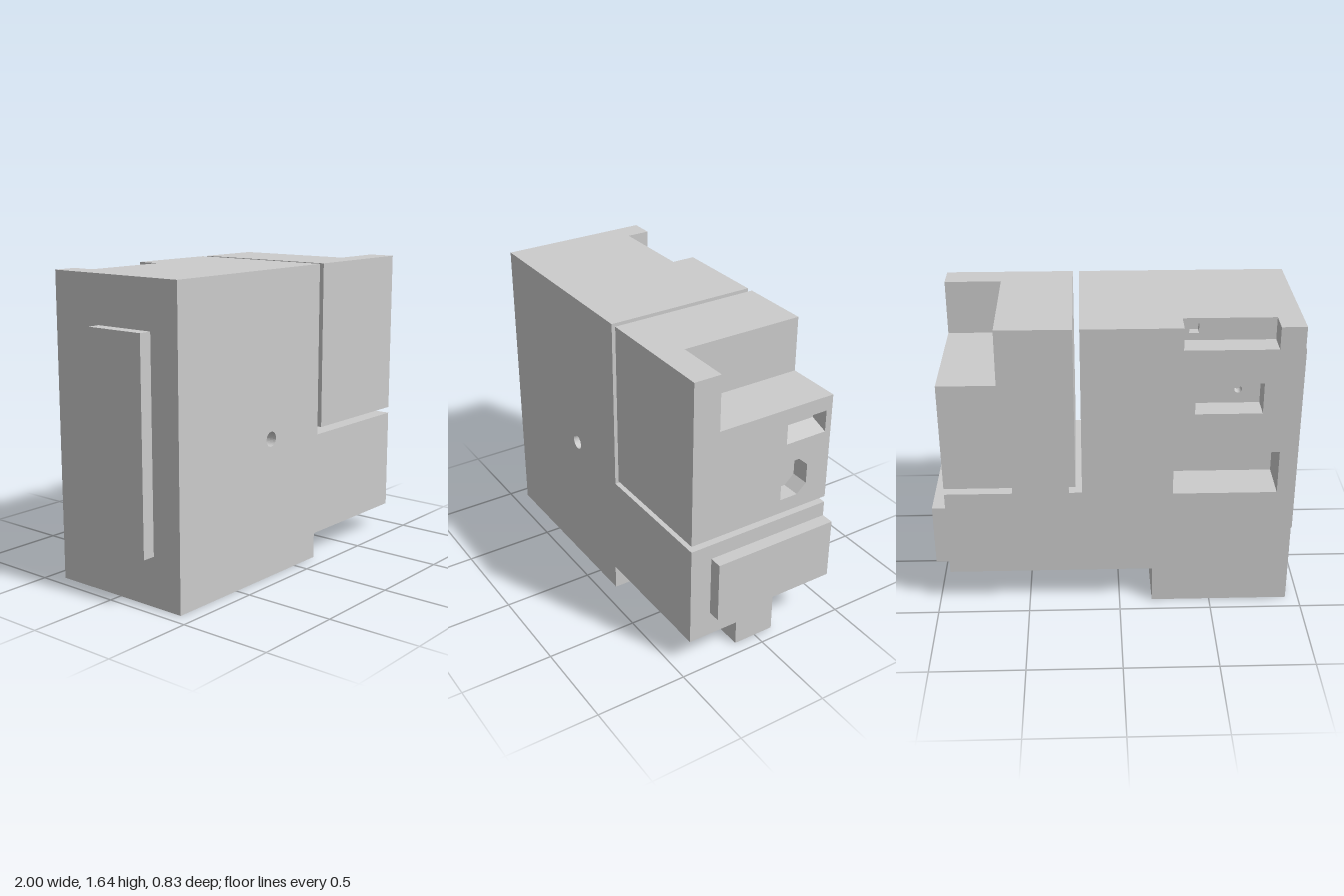
import * as THREE from 'three';

const material = new THREE.MeshStandardMaterial({ color: 0xcccccc, flatShading: true });

// Boxes are written as [x0, x1, y0, y1, z0, z1].
// Surface of a box after box-shaped cuts have been taken out of it.
function carvedGeometry(solid, cuts) {
  const lines = [0, 1, 2].map((d) => {
    const lo = solid[2 * d], hi = solid[2 * d + 1];
    const values = cuts.flatMap((c) => [c[2 * d], c[2 * d + 1]]).filter((v) => v > lo && v < hi);
    return [...new Set([lo, hi, ...values])].sort((a, b) => a - b);
  });
  const filled = (cell) => {
    if (cell.some((i, d) => i < 0 || i >= lines[d].length - 1)) return false;
    const mid = cell.map((i, d) => (lines[d][i] + lines[d][i + 1]) / 2);
    return !cuts.some((c) => mid.every((m, d) => m > c[2 * d] && m < c[2 * d + 1]));
  };
  const positions = [];
  const addFace = (cell, d, dir) => {
    const u = (d + 1) % 3, v = (d + 2) % 3;
    const corner = (a, b) => {
      const index = [...cell];
      index[d] += dir > 0 ? 1 : 0;
      index[u] += a;
      index[v] += b;
      return index.map((i, k) => lines[k][i]);
    };
    const q = [corner(0, 0), corner(1, 0), corner(1, 1), corner(0, 1)];
    if (dir < 0) q.reverse();
    for (const i of [0, 1, 2, 0, 2, 3]) positions.push(...q[i]);
  };
  for (let i = 0; i < lines[0].length - 1; i++)
    for (let j = 0; j < lines[1].length - 1; j++)
      for (let k = 0; k < lines[2].length - 1; k++) {
        const cell = [i, j, k];
        if (!filled(cell)) continue;
        for (let d = 0; d < 3; d++)
          for (const dir of [-1, 1]) {
            const next = [...cell];
            next[d] += dir;
            if (!filled(next)) addFace(cell, d, dir);
          }
      }
  const geometry = new THREE.BufferGeometry();
  geometry.setAttribute('position', new THREE.Float32BufferAttribute(positions, 3));
  geometry.computeVertexNormals();
  return geometry;
}

function polygon(points) {
  return new THREE.Shape(points.map(([x, y]) => new THREE.Vector2(x, y)));
}

export function createModel() {
  const group = new THREE.Group();
  const add = (name, geometry) => {
    const mesh = new THREE.Mesh(geometry, material);
    mesh.name = name;
    group.add(mesh);
  };
  const extrude = (shape, depth) =>
    new THREE.ExtrudeGeometry(shape, { depth, bevelEnabled: false, curveSegments: 16 });

  // Round holes: a square cut lined with a plate that has a circular hole
  const roundCut = ({ x, y, r, z0, z1 }) => [x - r - 0.01, x + r + 0.01, y - r - 0.01, y + r + 0.01, z0, z1];
  const addRoundHole = (name, hole) => {
    const [x0, x1, y0, y1, z0, z1] = roundCut(hole);
    const shape = polygon([[x0, y0], [x1, y0], [x1, y1], [x0, y1]]);
    shape.holes.push(new THREE.Path().absarc(hole.x, hole.y, hole.r, 0, Math.PI * 2, true));
    add(name, extrude(shape, z1 - z0).translate(0, 0, z0));
  };
  const frontHole = { x: -0.215, y: 0.755, r: 0.04, z0: 0.295, z1: 0.415 };
  const pocketHole = { x: -0.62, y: 1.24, r: 0.02, z0: -0.285, z1: -0.235 };
  const footHole = { x: 0.56, y: 0.1, r: 0.025, z0: -0.11, z1: -0.06 };

  // L-shaped main housing
  add('mainHousing', carvedGeometry([-0.93, 0.93, 0, 1.64, -0.415, 0.415], [
    [0.2, 1, 0.705, 2, -1, 1], // space for the cover block
    [-0.18, 0.18, -1, 0.21, -1, 0.265], // underside recess
    [0.18, 1, -1, 0.21, -1, -0.11], // recess behind the foot
    [0.18, 1, -1, 0.14, 0.125, 1], // recess in front of the foot
    [-0.8, -0.32, 1.52, 2, -1, -0.285], // rear top notch
    [-0.405, -0.355, 1.56, 1.61, -0.285, -0.235], // notch socket
    [-0.735, -0.386, 1.163, 1.333, -1, -0.285], // middle rear pocket
    [-0.838, -0.283, 0.69, 0.935, -1, -0.175], // lower rear pocket
    [-0.9, -0.27, -1, 0.12, -0.365, -0.28], // underside slot
    [0.8, 0.85, 0.075, 0.125, -0.11, -0.06], // foot sockets
    [0.265, 0.315, 0.075, 0.125, -0.11, -0.06],
    roundCut(frontHole), roundCut(pocketHole), roundCut(footHole),
  ]));
  addRoundHole('frontHole', frontHole);
  addRoundHole('pocketHole', pocketHole);
  addRoundHole('footHole', footHole);

  // Cover block with a stepped top and two side ports
  add('coverBlock', carvedGeometry([0.235, 0.93, 0.74, 1.64, -0.415, 0.415], [
    [0.625, 1, 1.34, 2, -1, 0.265],
    [0.83, 1, 1.14, 1.26, -0.38, -0.14],
    [0.83, 1, 0.82, 1.03, -0.28, -0.12],
    [0.76, 0.83, 0.86, 0.99, -0.19, -0.12],
  ]));

  // Sloped floor and ceiling of the upper port
  for (const [name, edge, inner] of [['portFloor', 1.14, 1.175], ['portCeiling', 1.26, 1.225]]) {
    const wedge = polygon([[0.83, edge], [0.93, edge], [0.83, inner]]);
    add(name, extrude(wedge, 0.24).translate(0, 0, -0.38));
  }

  // Chamfered rear corners of the lower port
  for (const [edge, inner] of [[0.82, 0.87], [1.03, 0.98]]) {
    const wedge = polygon([[0.225, edge], [0.28, edge], [0.28, inner]]);
    add('portChamfer', extrude(wedge, 0.1).rotateY(Math.PI / 2).translate(0.83, 0, 0));
  }

  // Neck under the cover and raised panels on both sides
  const boxes = {
    coverNeck: [0.27, 0.57, 0.705, 0.74, -0.415, 0.295],
    rightPanel: [-1, -0.93, 0.265, 1.385, -0.11, 0.24],
    leftPanel: [0.93, 1, 0.28, 0.62, -0.415, 0.295],
  };
  for (const [name, [x0, x1, y0, y1, z0, z1]] of Object.entries(boxes)) {
    add(name, new THREE.BoxGeometry(x1 - x0, y1 - y0, z1 - z0)
      .translate((x0 + x1) / 2, (y0 + y1) / 2, (z0 + z1) / 2));
  }
  return group;
}
